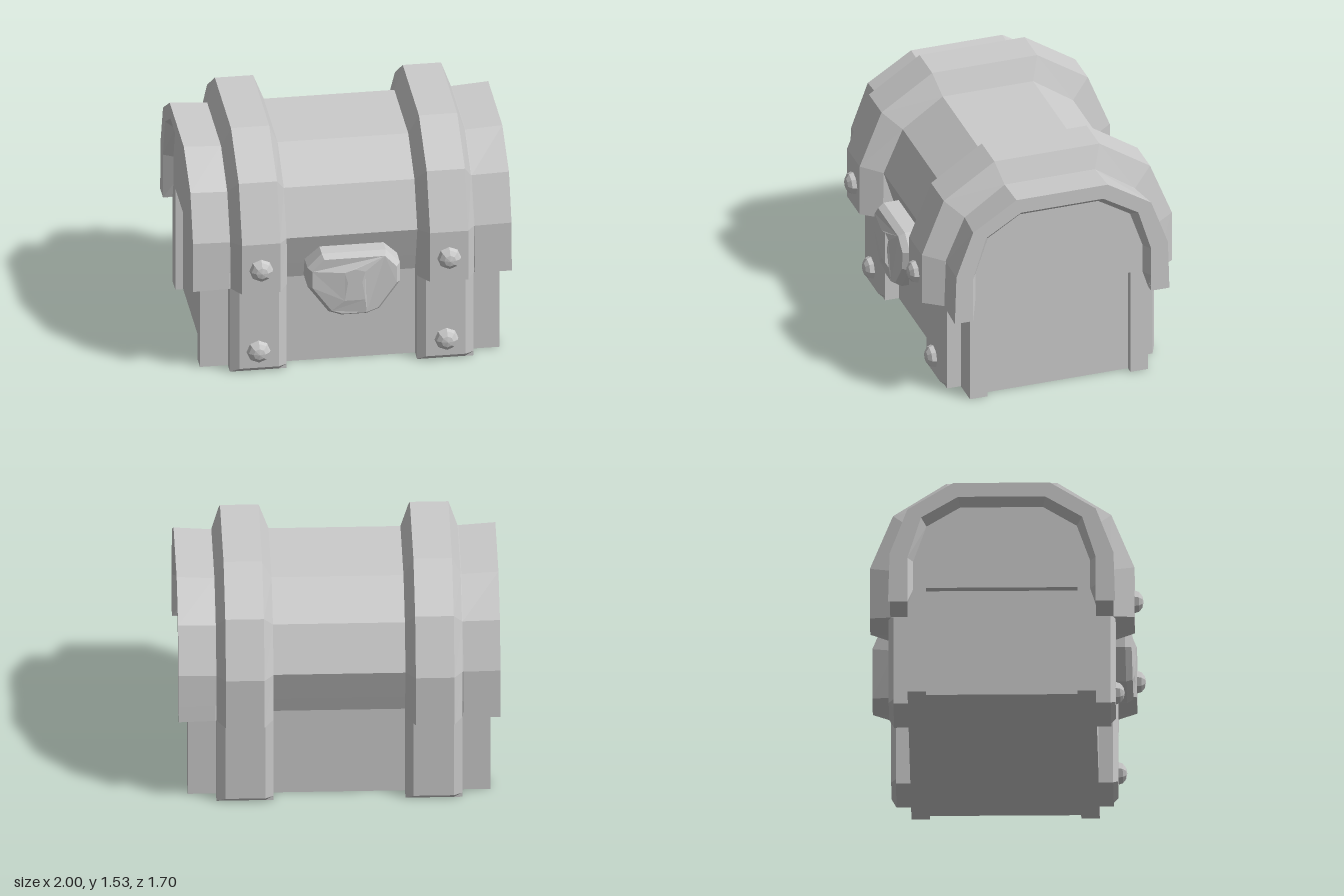
import * as THREE from 'three';

const MID_Z = -0.026; // middle of the chest's depth

const material = new THREE.MeshStandardMaterial({ color: 0xcccccc, flatShading: true });

// Mirrors a front half outline [z, y] to the back
const mirrored = (half) => [...half, ...half.map(([z, y]) => [-z, y]).reverse()];

// Skins outlines [z, y] placed at successive x positions
function loft(sections, { closed = true, caps = true } = {}) {
  const pos = [];
  const point = (x, [z, y]) => pos.push(x, y, z);
  const n = sections[0][1].length;
  for (let s = 0; s < sections.length - 1; s++) {
    const [x0, p0] = sections[s], [x1, p1] = sections[s + 1];
    for (let i = 0; i < (closed ? n : n - 1); i++) {
      const j = (i + 1) % n;
      point(x0, p0[i]); point(x1, p1[i]); point(x1, p1[j]);
      point(x0, p0[i]); point(x1, p1[j]); point(x0, p0[j]);
    }
  }
  if (caps) {
    for (const [section, facing] of [[sections[0], -1], [sections[sections.length - 1], 1]]) {
      const [x, outline] = section;
      const tris = THREE.ShapeUtils.triangulateShape(outline.map(([z, y]) => new THREE.Vector2(z, y)), []);
      for (const tri of tris) {
        const [a, b, c] = tri.map((k) => outline[k]);
        const area = (b[0] - a[0]) * (c[1] - a[1]) - (b[1] - a[1]) * (c[0] - a[0]);
        const order = area * facing < 0 ? [a, b, c] : [a, c, b];
        order.forEach((p) => point(x, p));
      }
    }
  }
  const geometry = new THREE.BufferGeometry();
  geometry.setAttribute('position', new THREE.Float32BufferAttribute(pos, 3));
  geometry.computeVertexNormals();
  return geometry;
}

export function createModel() {
  const model = new THREE.Group();
  model.name = 'treasureChest';

  const add = (name, geometry, x = 0, y = 0, z = MID_Z) => {
    const mesh = new THREE.Mesh(geometry, material);
    mesh.name = name;
    mesh.position.set(x, y, z);
    model.add(mesh);
    return mesh;
  };

  // Body core
  add('body', new THREE.BoxGeometry(1.78, 0.75, 1.17), 0, 0.375);

  // Arched lid with flared rims and bevelled end recesses
  const rim = mirrored([[0.705, 0.59], [0.702, 0.7], [0.695, 0.92], [0.585, 1.22], [0.30, 1.40]]);
  const flare = mirrored([[0.695, 0.59], [0.692, 0.7], [0.685, 0.91], [0.56, 1.20], [0.297, 1.385]]);
  const middle = mirrored([[0.585, 0.59], [0.62, 0.7], [0.685, 0.91], [0.56, 1.20], [0.297, 1.385]]);
  const opening = mirrored([[0.585, 0.59], [0.585, 0.7], [0.585, 0.89], [0.50, 1.165], [0.27, 1.305]]);
  const recess = mirrored([[0.585, 0.59], [0.55, 0.7], [0.55, 0.89], [0.467, 1.13], [0.257, 1.26]]);
  add('lid', loft([
    [-0.94, recess], [-1, opening], [-1, rim], [-0.77, flare], [-0.6, middle],
    [0.6, middle], [0.77, flare], [1, rim], [1, opening], [0.94, recess],
  ], { closed: false, caps: false }));

  // End walls: corner posts and lid end around a sunken side panel
  const endWall = [[0.47, 0.71], [0.47, 0], [0.585, 0], ...recess,
    [-0.585, 0], [-0.47, 0], [-0.47, 0.71]];

  // Lid bands: wide at the lid, narrower on the raised face
  const bandBase = mirrored([[0.69, 0.59], [0.685, 0.91], [0.56, 1.20], [0.297, 1.385]]);
  const bandFace = mirrored([[0.822, 0.61], [0.822, 0.95], [0.678, 1.31], [0.345, 1.53]]);

  // Body bands: chamfered along the sides and the foot
  const strapBase = mirrored([[0.675, 0], [0.675, 0.03], [0.675, 0.6]]);
  const strapFace = mirrored([[0.675, 0], [0.705, 0.03], [0.705, 0.6]]);

  const rivet = new THREE.SphereGeometry(0.075, 8, 6);
  rivet.rotateX(Math.PI / 2);
  rivet.scale(1, 1, 0.74);

  for (const side of [-1, 1]) {
    const label = side > 0 ? 'left' : 'right';
    const sections = (list) => {
      const placed = list.map(([x, outline]) => [x * side, outline]);
      return loft(side > 0 ? placed : placed.reverse());
    };
    add(label + 'EndWall', sections([[0.88, endWall], [0.94, endWall]]));
    add(label + 'LidBand', sections([[0.41, bandBase], [0.47, bandFace], [0.71, bandFace], [0.765, bandBase]]));
    add(label + 'BodyBand', sections([[0.41, strapBase], [0.46, strapFace], [0.71, strapFace], [0.765, strapBase]]));

    // Underside of the lid rim
    for (const dir of [-1, 1]) {
      add(label + 'RimUnderside', new THREE.BoxGeometry(0.23, 0.03, 0.11), side * 0.883, 0.606, MID_Z + dir * 0.639);
    }

    add(label + 'LidRivet', rivet, side * 0.59, 0.77, 0.796);
    add(label + 'BodyRivet', rivet, side * 0.59, 0.145, 0.679);
  }

  // Lock plate with a keyhole, its face slightly domed
  const half = [[0.19, 0.80], [0.265, 0.72], [0.265, 0.61], [0.145, 0.445], [0.075, 0.42]];
  const outline = [...half, ...half.map(([x, y]) => [-x, y]).reverse()];
  const shape = new THREE.Shape(outline.map(([x, y]) => new THREE.Vector2(x, y)));
  const keyhole = [[0, 0.73], [0.065, 0.71], [0.045, 0.64], [0.065, 0.515], [-0.065, 0.515], [-0.045, 0.64], [-0.065, 0.71]];
  shape.holes.push(new THREE.Path(keyhole.map(([x, y]) => new THREE.Vector2(x, y))));
  const plate = new THREE.ExtrudeGeometry(shape, {
    depth: 0.2, bevelThickness: 0.035, bevelSize: 0.025, bevelSegments: 1,
  });
  const p = plate.attributes.position;
  for (let i = 0; i < p.count; i++) {
    const x = p.getX(i), y = p.getY(i);
    p.setZ(i, p.getZ(i) - 0.35 * x * x - 0.4 * (y - 0.62) ** 2);
  }
  plate.computeVertexNormals();
  add('lockPlate', plate, 0, 0, 0.562);
  add('keyholeBack', new THREE.BoxGeometry(0.16, 0.26, 0.02), 0, 0.62, 0.71);

  return model;
}
